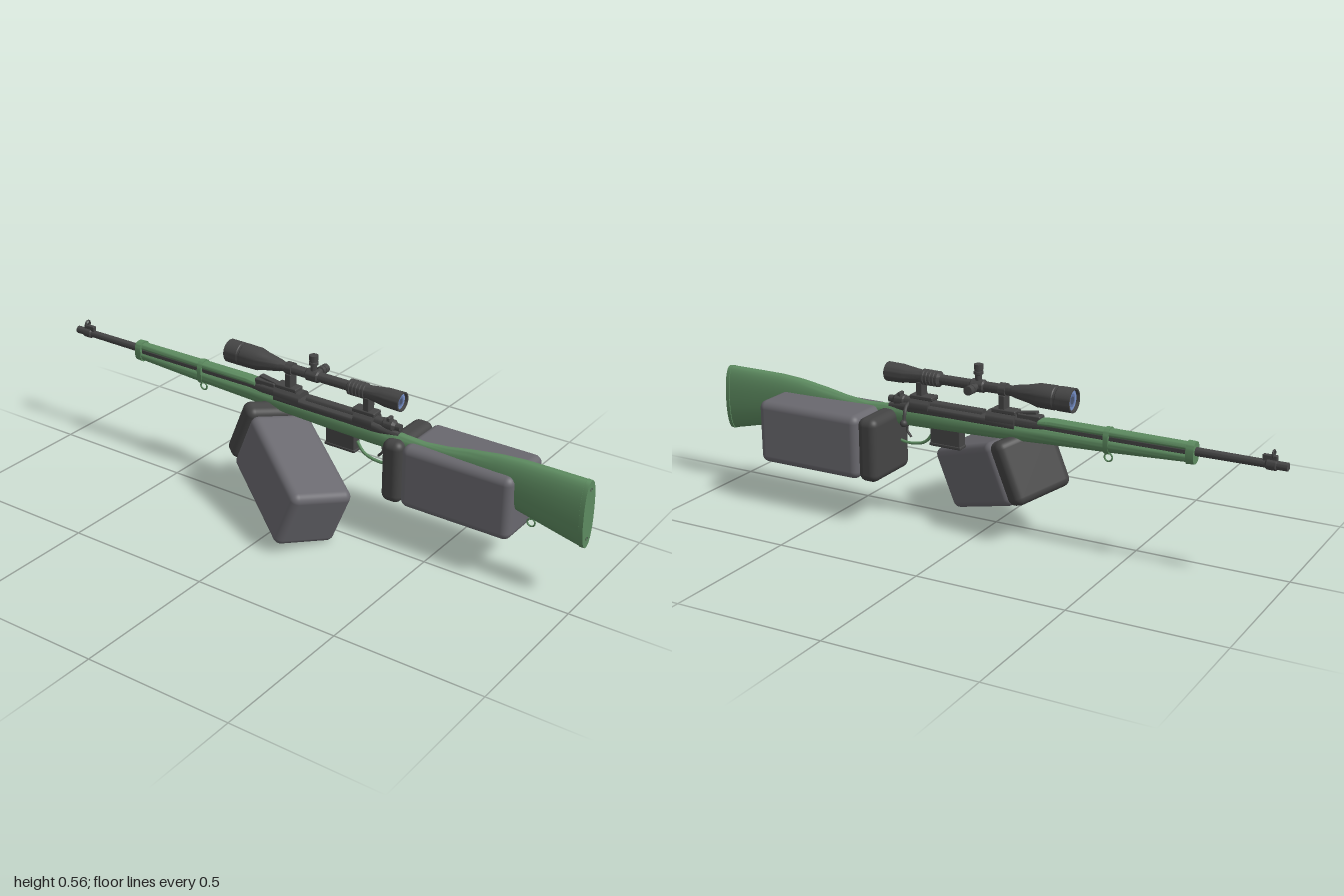
import * as THREE from 'three';
import { toCreasedNormals } from 'three/addons/utils/BufferGeometryUtils.js';
import { RoundedBoxGeometry } from 'three/addons/geometries/RoundedBoxGeometry.js';

const material = (name, color, side = THREE.FrontSide) => {
  const m = new THREE.MeshStandardMaterial({ color, side });
  m.name = name;
  return m;
};

// Skin of superellipse sections [z, bottom, top, halfWidth], listed from +z to -z
function loft(sections, power = 2.3, sides = 28) {
  const pos = [], index = [];
  const signedPow = (v) => Math.sign(v) * Math.abs(v) ** (2 / power);
  for (const [z, bottom, top, half] of sections) {
    for (let j = 0; j < sides; j++) {
      const t = (j / sides) * Math.PI * 2;
      pos.push(signedPow(Math.cos(t)) * half,
        (top + bottom) / 2 + signedPow(Math.sin(t)) * (top - bottom) / 2, z);
    }
  }
  const last = sections.length - 1;
  for (let i = 0; i < last; i++) {
    for (let j = 0; j < sides; j++) {
      const a = i * sides + j, b = i * sides + (j + 1) % sides;
      index.push(a, a + sides, b, b, a + sides, b + sides);
    }
  }
  for (const end of [0, last]) {
    const [z, bottom, top] = sections[end], centre = pos.length / 3;
    pos.push(0, (top + bottom) / 2, z);
    for (let j = 0; j < sides; j++) {
      const a = end * sides + j, b = end * sides + (j + 1) % sides;
      index.push(centre, ...(end ? [b, a] : [a, b]));
    }
  }
  const g = new THREE.BufferGeometry();
  g.setAttribute('position', new THREE.Float32BufferAttribute(pos, 3));
  g.setIndex(index);
  return toCreasedNormals(g, 0.7);
}

// Turned part along z from [radius, z] points, z rising
const turned = (points, sides = 32) => toCreasedNormals(
  new THREE.LatheGeometry(points.map(([r, z]) => new THREE.Vector2(r, z)), sides)
    .rotateX(Math.PI / 2), 0.5);

const rod = (points, radius) => new THREE.TubeGeometry(
  new THREE.CatmullRomCurve3(points.map((p) => new THREE.Vector3(...p))), 24, radius, 8);

const box = (w, h, d, r = 0.004) => new RoundedBoxGeometry(w, h, d, 2, r);

export function createModel() {
  const green = material('stock green', 0x5d8b60);
  const metal = material('gun metal', 0x454545);
  const sleeve = material('sleeve grey', 0x69686e);
  const glove = material('glove dark grey', 0x444444);
  const glass = material('lens blue', 0x7690c8);
  const glassMid = material('lens mid blue', 0x5f73a2);
  const glassDark = material('lens dark blue', 0x48546f);

  const model = new THREE.Group();
  model.name = 'scopedRifleWithArms';
  const rifle = new THREE.Group();
  rifle.name = 'rifle';
  rifle.position.x = 0.078;
  model.add(rifle);
  const add = (name, geometry, mat, x = 0, y = 0, z = 0, parent = rifle) => {
    const mesh = new THREE.Mesh(geometry, mat);
    mesh.name = name;
    mesh.position.set(x, y, z);
    parent.add(mesh);
    return mesh;
  };

  // Wooden furniture
  add('stock', loft([
    [0.985, 0.192, 0.415, 0.034], [0.88, 0.217, 0.415, 0.034], [0.78, 0.241, 0.414, 0.033],
    [0.7, 0.262, 0.408, 0.031], [0.6, 0.287, 0.393, 0.027], [0.52, 0.304, 0.378, 0.023],
    [0.44, 0.311, 0.37, 0.02], [0.37, 0.311, 0.374, 0.021], [0.31, 0.313, 0.38, 0.027],
    [0.25, 0.314, 0.384, 0.031], [0.1, 0.318, 0.386, 0.032], [-0.1, 0.325, 0.387, 0.03],
    [-0.22, 0.331, 0.387, 0.027], [-0.45, 0.34, 0.385, 0.024], [-0.7, 0.353, 0.385, 0.021],
  ]), green);
  add('buttPlate', loft([[1, 0.19, 0.415, 0.035], [0.986, 0.19, 0.416, 0.036]]), green);
  for (const y of [0.385, 0.221])
    add('buttScrew', new THREE.TorusGeometry(0.005, 0.0008, 6, 16), metal, 0, y, 1);
  add('handguard', loft([
    [-0.2, 0.389, 0.411, 0.024], [-0.24, 0.389, 0.415, 0.023],
    [-0.45, 0.389, 0.415, 0.021], [-0.7, 0.389, 0.414, 0.018]]), green);
  add('handguardGap', box(0.036, 0.014, 0.48, 0.002), metal, 0, 0.387, -0.45);
  add('foreEndCap', loft([[-0.69, 0.347, 0.419, 0.025], [-0.715, 0.349, 0.418, 0.024]], 2.8), green);
  add('barrelBand', loft([[-0.423, 0.335, 0.419, 0.0265], [-0.44, 0.335, 0.419, 0.0265]], 2.8), green);

  // Sling loops
  for (const [y, z] of [[0.322, -0.432], [0.214, 0.818]]) {
    const loop = add('slingLoop', new THREE.TorusGeometry(0.013, 0.0028, 8, 20), green, 0, y, z);
    loop.rotation.y = Math.PI / 2;
    add('slingLoopStud', new THREE.CylinderGeometry(0.004, 0.004, 0.016, 10), green, 0, y + 0.018, z);
  }

  // Barrel and sights
  add('barrel', turned([
    [0, -1], [0.007, -1], [0.013, -0.997], [0.013, -0.965], [0.017, -0.962], [0.017, -0.935],
    [0.0125, -0.93], [0.0135, -0.7], [0.016, -0.25], [0.024, -0.17], [0.024, -0.1], [0, -0.1],
  ]), metal, 0, 0.388);
  add('frontSightBase', box(0.014, 0.022, 0.045, 0.003), metal, 0, 0.406, -0.942);
  add('frontSightHood', new THREE.TorusGeometry(0.011, 0.003, 8, 20), metal, 0, 0.421, -0.952);
  add('frontSightPost', box(0.004, 0.016, 0.006, 0.001), metal, 0, 0.418, -0.95);
  add('rearSightBase', box(0.034, 0.022, 0.08), metal, 0, 0.408, -0.165);
  const leaf = add('rearSightLeaf', box(0.022, 0.008, 0.07, 0.002), metal, 0, 0.422, -0.155);
  leaf.rotation.x = 0.15;

  // Receiver and bolt
  add('receiver', loft([
    [0.35, 0.362, 0.38, 0.014], [0.29, 0.362, 0.392, 0.026], [0.26, 0.362, 0.396, 0.03],
    [0.0, 0.364, 0.396, 0.031], [-0.12, 0.364, 0.398, 0.03]], 4), metal);
  add('receiverRing', loft([[-0.02, 0.362, 0.414, 0.031], [-0.12, 0.362, 0.414, 0.03]], 2.6), metal);
  add('rearBridge', loft([[0.26, 0.362, 0.414, 0.031], [0.19, 0.362, 0.414, 0.031]], 2.6), metal);
  add('bolt', turned([[0, 0], [0.017, 0], [0.017, 0.29], [0.02, 0.295], [0.02, 0.325],
    [0.012, 0.335], [0.012, 0.352], [0, 0.354]]), metal, 0, 0.393);
  add('safetyLever', box(0.026, 0.014, 0.012, 0.003), metal, 0, 0.414, 0.31);
  add('boltHandle', rod([[0.01, 0.393, 0.27], [0.035, 0.387, 0.268], [0.05, 0.372, 0.264],
    [0.058, 0.345, 0.263]], 0.006), metal);
  add('boltKnob', new THREE.SphereGeometry(0.012, 20, 14), metal, 0.06, 0.337, 0.263);

  // Magazine, trigger and guard
  add('magazine', box(0.036, 0.08, 0.11), metal, 0, 0.301, 0.135);
  add('magazineLip', box(0.04, 0.01, 0.116, 0.003), metal, 0, 0.268, 0.135);
  add('triggerGuard', rod([[0, 0.32, 0.35], [0, 0.272, 0.335], [0, 0.254, 0.305],
    [0, 0.254, 0.25], [0, 0.268, 0.215], [0, 0.3, 0.19]], 0.005), green);
  add('trigger', rod([[0, 0.325, 0.28], [0, 0.295, 0.288], [0, 0.272, 0.272]], 0.004), metal);

  // Telescopic sight
  const scope = new THREE.Group();
  scope.name = 'scope';
  scope.position.y = 0.484;
  rifle.add(scope);
  const ribs = [];
  for (let i = 0; i < 5; i++) {
    const z = 0.16 + i * 0.013;
    ribs.push([0.023, z], [0.026, z + 0.002], [0.026, z + 0.009], [0.023, z + 0.011]);
  }
  add('scopeBody', turned([
    [0, -0.3], [0.033, -0.302], [0.034, -0.315], [0.039, -0.315], [0.039, -0.265], [0.037, -0.262],
    [0.037, -0.255], [0.039, -0.252], [0.038, -0.195], [0.03, -0.165], [0.02, -0.11], [0.0165, -0.1],
    [0.0165, 0.155], ...ribs, [0.022, 0.23], [0.028, 0.28], [0.031, 0.3], [0.032, 0.355],
    [0.027, 0.355], [0.026, 0.345], [0, 0.344]]), metal, 0, 0, 0, scope);
  for (const [z, r, dir] of [[0.346, 0.026, 1], [-0.305, 0.033, -1]]) {
    [[1, glass], [0.66, glassMid], [0.38, glassDark]].forEach(([k, mat], i) => {
      const lens = add('lens', new THREE.CircleGeometry(r * k, 32), mat, 0, 0, z + dir * i * 0.001, scope);
      if (dir < 0) lens.rotation.y = Math.PI;
    });
  }
  // Adjustment turrets on top and on the left
  add('turretHousing', turned([[0.0165, -0.025], [0.021, -0.02], [0.021, 0.02], [0.0165, 0.025]]),
    metal, 0, 0, 0.02, scope);
  for (const angle of [0, -Math.PI / 2]) {
    const turret = add('turret', toCreasedNormals(new THREE.LatheGeometry(
      [[0.011, 0], [0.011, 0.036], [0.0155, 0.038], [0.0155, 0.047], [0.0135, 0.048],
        [0.0135, 0.052], [0.015, 0.053], [0.015, 0.07], [0, 0.071]]
        .map(([r, y]) => new THREE.Vector2(r, y)), 24), 0.5), metal, 0, 0, 0.02, scope);
    turret.rotation.z = angle;
  }
  // Scope mounts
  for (const z of [0.23, -0.07]) {
    add('mountRing', turned([[0.016, -0.012], [0.0215, -0.012], [0.0215, 0.012], [0.016, 0.012]]),
      metal, 0, 0.484, z);
    add('mountPost', box(0.036, 0.055, 0.022, 0.003), metal, 0, 0.441, z);
    add('mountBase', box(0.042, 0.014, 0.085), metal, 0, 0.417, z - 0.008);
  }

  // Blocky arms: sleeve with a gloved end, pointing along -z
  function arm(name) {
    const g = new THREE.Group();
    g.name = name;
    add('sleeve', new RoundedBoxGeometry(0.214, 0.214, 0.388, 5, 0.026), sleeve, 0, 0, 0.036, g);
    add('glove', new RoundedBoxGeometry(0.214, 0.214, 0.072, 5, 0.026), glove, 0, 0, -0.194, g);
    model.add(g);
    return g;
  }
  arm('triggerArm').position.set(0.129, 0.256, 0.541);
  const support = arm('supportArm');
  const back = new THREE.Vector3(-0.496, -0.33, 0.804).normalize();
  const side = new THREE.Vector3(0, 0.927, 0.375).cross(back).normalize();
  const up = back.clone().cross(side);
  support.quaternion.setFromRotationMatrix(new THREE.Matrix4().makeBasis(side, up, back));
  support.position.set(-0.035, 0.183, 0);
  return model;
}
